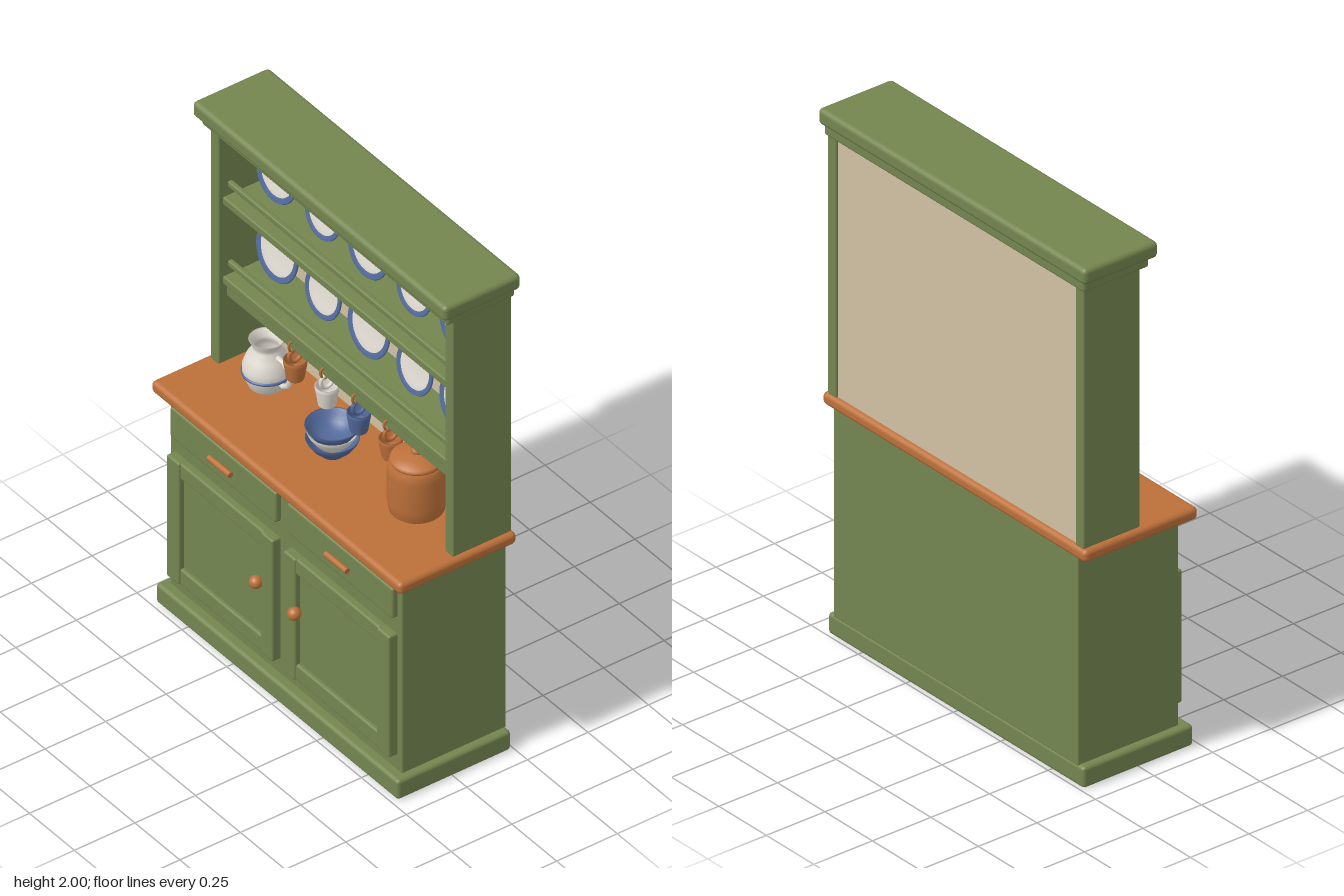
import * as THREE from 'three';
import { RoundedBoxGeometry } from 'three/addons/geometries/RoundedBoxGeometry.js';

function material(name, color) {
  const m = new THREE.MeshStandardMaterial({ color });
  m.name = name;
  return m;
}

export function createModel() {
  const model = new THREE.Group();
  model.name = 'dresser';
  const green = material('sage green paint', 0x74854f);
  const wood = material('warm wood', 0xbc7039);
  const cream = material('cream back board', 0xd0c1a4);
  const white = material('white china', 0xe2ddd3);
  const blue = material('blue china', 0x536a9b);

  const add = (name, geometry, mat, x = 0, y = 0, z = 0, parent = model) => {
    const mesh = new THREE.Mesh(geometry, mat);
    mesh.name = name;
    mesh.position.set(x, y, z);
    parent.add(mesh);
    return mesh;
  };
  // Rounded board given by its limits on each axis
  const board = (name, mat, [x0, x1], [y0, y1], [z0, z1], r = 0.006) =>
    add(name, new RoundedBoxGeometry(x1 - x0, y1 - y0, z1 - z0, 2, r), mat,
      (x0 + x1) / 2, (y0 + y1) / 2, (z0 + z1) / 2);
  const lathe = (points, segments = 32) =>
    new THREE.LatheGeometry(points.map(([x, y]) => new THREE.Vector2(x, y)), segments);
  const group = (name, x, y, z) => {
    const g = new THREE.Group();
    g.name = name;
    g.position.set(x, y, z);
    model.add(g);
    return g;
  };

  // Lower cabinet and worktop
  board('plinth', green, [-0.675, 0.675], [0, 0.08], [-0.24, 0.23], 0.014);
  board('cabinetBody', green, [-0.645, 0.645], [0.075, 0.875], [-0.24, 0.19]);
  board('worktop', wood, [-0.695, 0.695], [0.87, 0.918], [-0.25, 0.236], 0.018);

  // Drawers and framed doors, mirrored
  for (const s of [-1, 1]) {
    const span = (a, b) => (s > 0 ? [a, b] : [-b, -a]);
    board('drawerFront', green, span(0.03, 0.62), [0.717, 0.845], [0.18, 0.212], 0.01);
    const pull = add('drawerPull', new THREE.CylinderGeometry(0.011, 0.011, 0.12, 12), wood, s * 0.325, 0.78, 0.223);
    pull.rotation.z = Math.PI / 2;
    board('doorPanel', green, span(0.04, 0.61), [0.15, 0.64], [0.18, 0.205], 0.004);
    board('doorStile', green, span(0.03, 0.096), [0.142, 0.65], [0.185, 0.226], 0.008);
    board('doorStile', green, span(0.55, 0.62), [0.142, 0.65], [0.185, 0.226], 0.008);
    board('doorRail', green, span(0.09, 0.555), [0.142, 0.208], [0.185, 0.22], 0.008);
    board('doorRail', green, span(0.09, 0.555), [0.585, 0.65], [0.185, 0.22], 0.008);
    add('doorKnob', new THREE.SphereGeometry(0.024, 20, 14), wood, s * 0.107, 0.437, 0.236);
    board('upright', green, span(0.63, 0.675), [0.915, 1.92], [-0.24, 0.002]);
  }

  // Rack top and back
  board('backBoard', cream, [-0.635, 0.635], [0.915, 1.92], [-0.232, -0.212], 0.002);
  board('corniceMoulding', green, [-0.685, 0.685], [1.902, 1.945], [-0.248, 0.032], 0.01);
  board('cornice', green, [-0.705, 0.705], [1.938, 2], [-0.26, 0.058], 0.018);
  board('shelfApron', green, [-0.63, 0.63], [1.19, 1.24], [-0.055, -0.03]);

  // Plates leaning on the shelves behind thin rails
  const plate = (r, x, shelfY) => {
    const g = group('plate', x, shelfY + r * 0.985 + 0.004, -0.16);
    g.rotation.x = Math.PI / 2 - 0.17;
    g.scale.set(r, 1, r);
    add('plateCentre', lathe([[0, -0.01], [0.6, -0.01], [0.82, 0], [0.82, 0.008], [0.64, 0.001], [0, 0.001]], 40), white, 0, 0, 0, g);
    add('plateRim', lathe([[0.78, -0.003], [0.97, 0.002], [1, 0.007], [0.97, 0.013], [0.8, 0.008]], 40), blue, 0, 0, 0, g);
  };
  for (const y of [1.278, 1.61]) {
    board('shelf', green, [-0.632, 0.632], [y - 0.032, y], [-0.215, -0.015]);
    board('plateRail', green, [-0.632, 0.632], [y + 0.033, y + 0.057], [-0.055, -0.035]);
    for (let i = -2; i <= 2; i++) plate(i % 2 ? 0.097 : 0.113, i * 0.255, y);
  }

  // Mugs hanging by their handles from hooks
  [wood, white, blue, wood].forEach((mat, i) => {
    const g = group('hangingMug', -0.266 + i * 0.177, 1.063, -0.045);
    add('mugCup', lathe([[0, 0], [0.028, 0], [0.031, 0.004], [0.037, 0.045], [0.041, 0.066], [0.042, 0.08],
      [0.037, 0.08], [0.033, 0.04], [0.026, 0.008], [0, 0.008]], 24), mat, 0, 0, 0, g);
    const handle = add('mugHandle', new THREE.TorusGeometry(0.027, 0.007, 8, 20), mat, 0, 0.1, 0, g);
    handle.rotation.y = Math.PI / 2;
    const hook = new THREE.CatmullRomCurve3([[0.153, 0.0], [0.157, 0.024], [0.135, 0.026], [0.115, 0.012], [0.118, -0.004]]
      .map(([y, z]) => new THREE.Vector3(0, y, z)));
    add('hook', new THREE.TubeGeometry(hook, 16, 0.005, 8), wood, 0, 0, 0, g);
  });

  // Jug with band and angular handle
  const jug = group('jug', -0.445, 0.917, -0.06);
  add('jugBody', lathe([[0, 0], [0.055, 0], [0.063, 0.008], [0.083, 0.055], [0.083, 0.09], [0.068, 0.13], [0.048, 0.158],
    [0.05, 0.175], [0.062, 0.196], [0.056, 0.196], [0.043, 0.17], [0.042, 0.155], [0.06, 0.125], [0.05, 0.02], [0, 0.02]]), white, 0, 0, 0, jug);
  const band = add('jugBand', new THREE.TorusGeometry(0.082, 0.006, 8, 32), blue, 0, 0.062, 0, jug);
  band.rotation.x = Math.PI / 2;
  const handle = add('jugHandle', new THREE.TorusGeometry(0.052, 0.01, 8, 6, Math.PI * 1.2), white, 0.078, 0.1, 0, jug);
  handle.rotation.z = -Math.PI * 0.6;

  // Three stacked bowls
  const bowl = (r, h) => lathe([[0, 0], [r * 0.45, 0], [r * 0.5, h * 0.12], [r * 0.75, h * 0.42], [r * 0.93, h * 0.78], [r, h],
    [r * 0.95, h], [r * 0.86, h * 0.75], [r * 0.66, h * 0.42], [r * 0.4, h * 0.16], [0, h * 0.16]]);
  [[0.092, 0.917, blue], [0.087, 0.944, white], [0.094, 0.97, blue]].forEach(([r, y, mat]) =>
    add('stackedBowl', bowl(r, 0.066), mat, -0.02, y, -0.016));

  // Storage crock with lid and knob
  const crock = group('crock', 0.39, 0.917, -0.06);
  add('crockBody', lathe([[0, 0], [0.085, 0], [0.094, 0.008], [0.1, 0.05], [0.1, 0.165], [0.096, 0.195], [0.084, 0.212], [0, 0.212]]), wood, 0, 0, 0, crock);
  add('crockLid', lathe([[0, 0.205], [0.09, 0.205], [0.092, 0.211], [0.088, 0.22], [0.055, 0.234], [0, 0.24]]), wood, 0, 0, 0, crock);
  add('crockKnob', new THREE.SphereGeometry(0.02, 18, 12), wood, 0, 0.242, 0, crock);

  return model;
}
